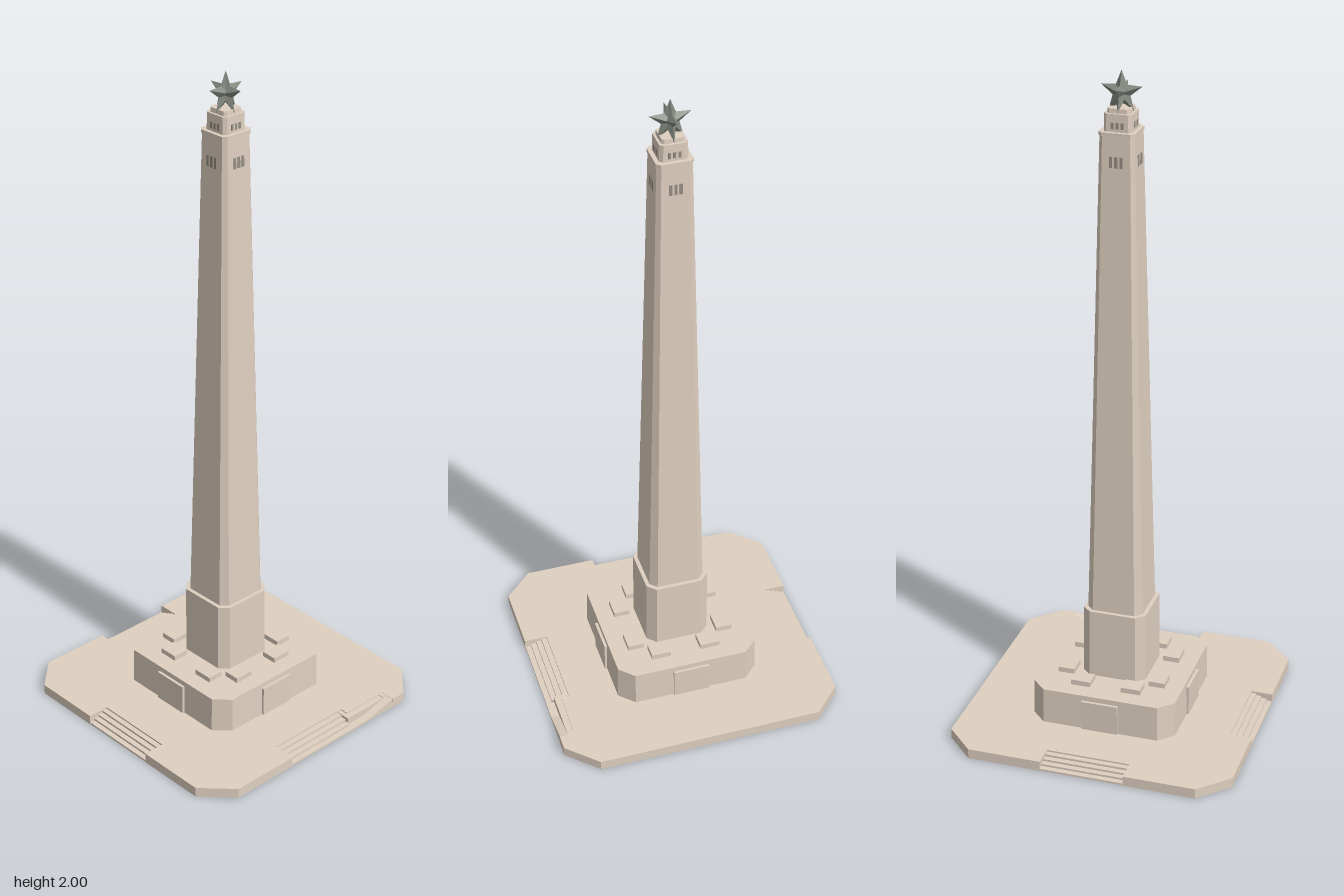
import * as THREE from 'three';

// Double-sided because the platform and stairs are an open shell
const stone = new THREE.MeshStandardMaterial({ color: 0xdfd0c0, side: THREE.DoubleSide });
stone.name = 'stone';
const slitStone = new THREE.MeshStandardMaterial({ color: 0x968d83 });
slitStone.name = 'shadowStone';
const metal = new THREE.MeshStandardMaterial({ color: 0x83887f });
metal.name = 'starMetal';

function add(parent, name, geometry, material, x = 0, y = 0, z = 0) {
  const mesh = new THREE.Mesh(geometry, material);
  mesh.name = name;
  mesh.position.set(x, y, z);
  parent.add(mesh);
  return mesh;
}

function facets(triangles) {
  const g = new THREE.BufferGeometry();
  g.setAttribute('position', new THREE.Float32BufferAttribute(triangles.flat(2), 3));
  g.computeVertexNormals();
  return g;
}

const quad = (a, b, c, d) => [[a, b, c], [a, c, d]];

// Square tower section with cut corners; each ring is [y, half width, corner cut]
function tower(rings) {
  const loops = rings.map(([y, h, c]) => [
    [h - c, y, h], [h, y, h - c], [h, y, c - h], [h - c, y, -h],
    [c - h, y, -h], [-h, y, c - h], [-h, y, h - c], [c - h, y, h],
  ]);
  const tris = [];
  for (let r = 0; r + 1 < loops.length; r++) {
    for (let i = 0; i < 8; i++) {
      const j = (i + 1) % 8, a = loops[r], b = loops[r + 1];
      tris.push(...quad(a[i], a[j], b[j], b[i]));
    }
  }
  const top = loops[loops.length - 1];
  for (let i = 1; i < 7; i++) tris.push([top[0], top[i], top[i + 1]]);
  return facets(tris);
}

// Five-pointed star with a raised centre on both faces
function starGeometry(radius, inner, thick) {
  const p = [];
  for (let i = 0; i < 10; i++) {
    const a = Math.PI / 2 + i * Math.PI / 5, r = i % 2 ? inner : radius;
    p.push([Math.cos(a) * r, Math.sin(a) * r, 0]);
  }
  const tris = [];
  p.forEach((v, i) => {
    const w = p[(i + 1) % 10];
    tris.push([[0, 0, thick], v, w], [[0, 0, -thick], w, v]);
  });
  return facets(tris);
}

// Open flight of treads and risers, climbing inward from the platform edge
function stairs(parent, name, width, inner, angle) {
  const depth = (0.435 - inner) / 4, rise = 0.0065, w = width / 2;
  const tris = [];
  const strip = (y0, z0, y1, z1) => tris.push(...quad([-w, y0, z0], [w, y0, z0], [w, y1, z1], [-w, y1, z1]));
  for (let i = 0; i < 4; i++) {
    const y = i * rise, z = 0.435 - i * depth;
    strip(y, z, y + rise, z);
    strip(y + rise, z, y + rise, z - depth);
  }
  add(parent, name, facets(tris), stone).rotation.y = angle;
}

const flatShape = (points) => new THREE.Shape(points.map(([x, y]) => new THREE.Vector2(x, y)));

// Extruded side profile lying in the x-y plane
const wedge = (points, depth) => new THREE.ExtrudeGeometry(flatShape(points), { depth, bevelEnabled: false });

export function createModel() {
  const model = new THREE.Group();
  model.name = 'obelisk';

  // Platform shell, notched for the stairs and the ramp (x, z)
  const outline = [
    [-0.348, 0.436], [-0.13, 0.436], [-0.13, 0.365], [0.145, 0.365], [0.145, 0.39],
    [0.3, 0.39], [0.3, 0.436], [0.348, 0.436], [0.436, 0.345], [0.436, -0.348],
    [0.348, -0.436], [0.125, -0.436], [0.125, -0.37], [-0.13, -0.37], [-0.13, -0.436],
    [-0.348, -0.436], [-0.436, -0.348], [-0.436, -0.128], [-0.37, -0.128],
    [-0.37, 0.128], [-0.436, 0.128], [-0.436, 0.348],
  ];
  const height = 0.031;
  const deck = new THREE.ShapeGeometry(flatShape(outline.map(([x, z]) => [x, -z])));
  add(model, 'platformTop', deck.rotateX(-Math.PI / 2), stone, 0, height, 0);
  const rim = outline.flatMap(([x, z], i) => {
    const [u, w] = outline[(i + 1) % outline.length];
    return quad([x, 0, z], [u, 0, w], [u, height, w], [x, height, z]);
  });
  add(model, 'platformRim', facets(rim), stone);

  stairs(model, 'frontStairs', 0.26, 0.365, 0);
  stairs(model, 'backStairs', 0.26, 0.37, Math.PI);
  stairs(model, 'rightStairs', 0.256, 0.37, -Math.PI / 2);

  // Ramp beside the front stairs, with its curb and end post
  add(model, 'rampCurb', new THREE.BoxGeometry(0.14, 0.028, 0.02), stone, 0.215, 0.014, 0.4);
  add(model, 'ramp', wedge([[0.13, 0], [0.3, 0], [0.3, 0.03], [0.19, 0.006], [0.13, 0.006]], 0.025), stone, 0, 0, 0.41);
  add(model, 'rampHead', new THREE.BoxGeometry(0.015, 0.03, 0.02), stone, 0.2925, 0.015, 0.4);
  add(model, 'rampPost', new THREE.BoxGeometry(0.015, 0.028, 0.045), stone, 0.1375, 0.014, 0.3875);

  const core = new THREE.Group();
  core.name = 'monument';
  core.position.set(0.008, 0, -0.003);
  model.add(core);

  // Base block, pedestal, tapering shaft and stepped crown
  add(core, 'baseBlock', tower([[height, 0.2225, 0.044], [0.142, 0.2205, 0.043]]), stone);
  add(core, 'pedestal', tower([[0.142, 0.098, 0.026], [0.36, 0.097, 0.026]]), stone);
  add(core, 'shaft', tower([[0.36, 0.085, 0.02], [1.825, 0.051, 0.011]]), stone);
  add(core, 'shaftCap', tower([[1.825, 0.053, 0.011], [1.835, 0.053, 0.011]]), stone);
  add(core, 'crown', tower([[1.835, 0.041, 0.009], [1.885, 0.04, 0.009]]), stone);
  add(core, 'crownTop', tower([[1.885, 0.033, 0.007], [1.898, 0.032, 0.007]]), stone);

  // Details repeated on the four sides
  for (let s = 0; s < 4; s++) {
    const side = new THREE.Group();
    side.name = 'sideDetails';
    side.rotation.y = s * Math.PI / 2;
    core.add(side);
    add(side, 'basePanel', new THREE.BoxGeometry(0.112, 0.094, 0.02), stone, 0, 0.079, 0.2195);
    for (const k of [-1, 1]) {
      add(side, 'plinthPad', new THREE.BoxGeometry(0.061, 0.018, 0.05), stone, k * 0.078, 0.149, 0.1425);
    }
    for (const k of [-1, 0, 1]) {
      const slit = add(side, 'shaftSlit', new THREE.BoxGeometry(0.009, 0.032, 0.003), slitStone, k * 0.015, 1.752, 0.0522);
      slit.rotation.x = -0.023;
      add(side, 'crownSlit', new THREE.BoxGeometry(0.008, 0.018, 0.003), slitStone, k * 0.014, 1.852, 0.0402);
    }
  }

  // Two crossed stars on top
  const star = starGeometry(0.0625, 0.027, 0.018);
  add(core, 'star', star, metal, 0, 1.9375, 0);
  add(core, 'crossStar', star, metal, 0, 1.9375, 0).rotation.y = Math.PI / 2;

  return model;
}
